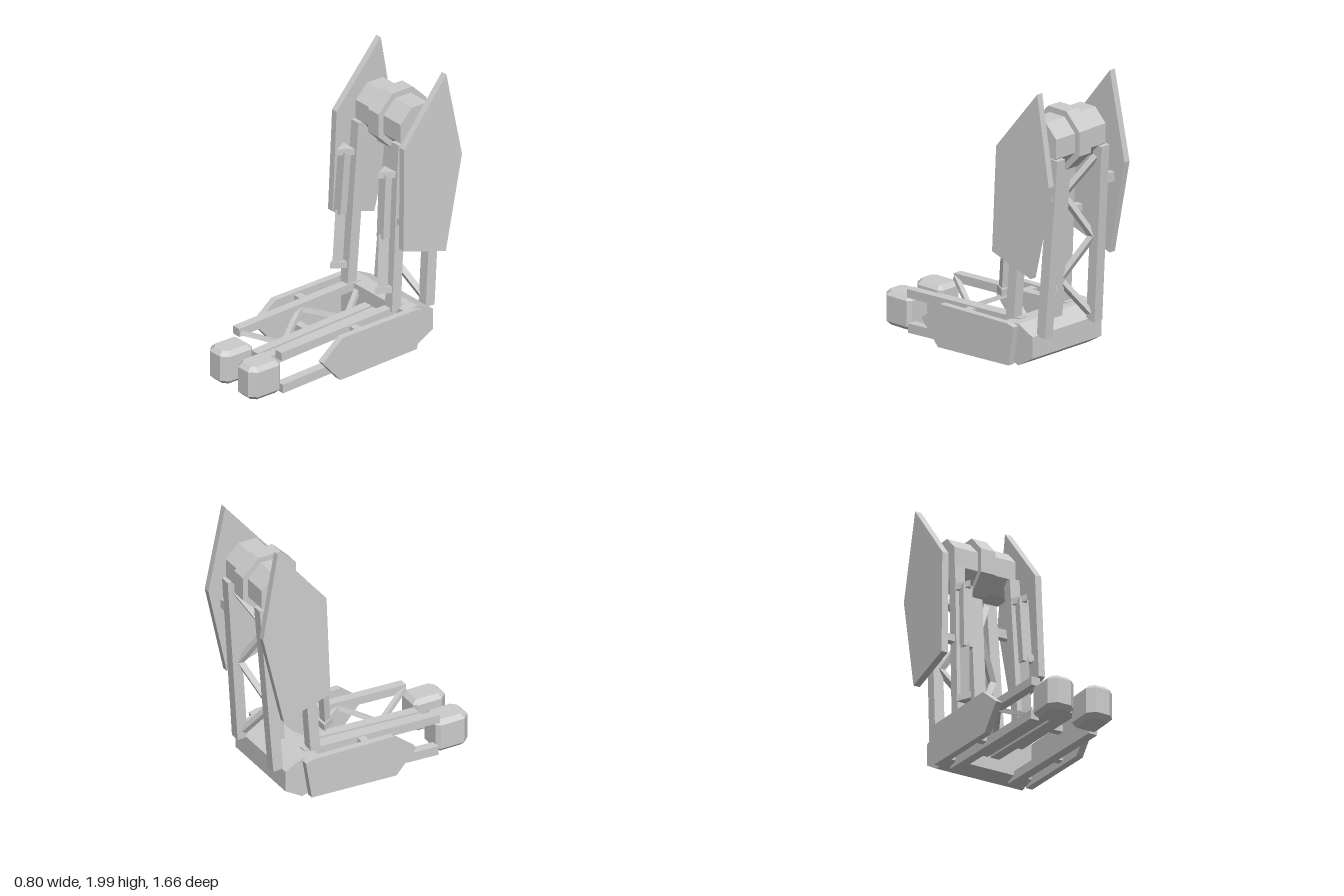
import * as THREE from 'three';

const mat = new THREE.MeshStandardMaterial({ color: 0xcccccc, flatShading: true });

function add(group, name, geo) {
  const mesh = new THREE.Mesh(geo, mat);
  mesh.name = name;
  group.add(mesh);
  return mesh;
}

// Bar from a to b, w wide across x and d deep; sides = 3 gives a triangular bar pointing forward
function beam(group, name, a, b, w, d, sides = 4) {
  const A = new THREE.Vector3(...a), B = new THREE.Vector3(...b);
  const up = B.clone().sub(A), len = up.length();
  up.normalize();
  const ref = Math.abs(up.x) > 0.9 ? new THREE.Vector3(0, 0, 1) : new THREE.Vector3(1, 0, 0);
  const x = ref.addScaledVector(up, -ref.dot(up)).normalize();
  const z = new THREE.Vector3().crossVectors(x, up);
  const geo = sides === 3
    ? new THREE.CylinderGeometry(w / 1.732, w / 1.732, len, 3)
    : new THREE.BoxGeometry(w, len, d);
  geo.applyMatrix4(new THREE.Matrix4().makeBasis(x, up, z).setPosition(A.add(B).multiplyScalar(0.5)));
  return add(group, name, geo);
}

// Flat panel from a (z, y) outline, centred on x
function slab(points, x, thickness) {
  const shape = new THREE.Shape(points.map(p => new THREE.Vector2(...p)));
  const geo = new THREE.ExtrudeGeometry(shape, { depth: thickness, bevelEnabled: false });
  return geo.rotateY(-Math.PI / 2).translate(x + thickness / 2, 0, 0);
}

// Eight-sided drum lying along x
function drum(apothem, width) {
  return new THREE.CylinderGeometry(apothem / Math.cos(Math.PI / 8), apothem / Math.cos(Math.PI / 8), width, 8)
    .rotateY(Math.PI / 8).rotateZ(Math.PI / 2).translate(0, 1.595, -0.592);
}

// Toe block with cut corners and bevelled top and bottom
function toe(x) {
  const b = 0.03, w = 0.1 - b, c = 0.03, z0 = 0.575 + b, z1 = 0.83 - b;
  const shape = new THREE.Shape([
    [-w + 0.01, -z0], [-w, -z0 - 0.01], [-w, -z1 + c], [-w + c, -z1],
    [w - c, -z1], [w, -z1 + c], [w, -z0 - 0.01], [w - 0.01, -z0],
  ].map(p => new THREE.Vector2(...p)));
  const geo = new THREE.ExtrudeGeometry(shape, {
    depth: 0.24 - 2 * b, bevelThickness: b, bevelSize: b, bevelSegments: 1,
  });
  return geo.rotateX(-Math.PI / 2).translate(x, 0.01 + b, 0);
}

function buildSide(s) {
  const g = new THREE.Group();
  g.name = s > 0 ? 'leftSide' : 'rightSide';
  const X = ([x, y, z]) => [x * s, y, z];
  const bar = (name, a, b, ...size) => beam(g, name, X(a), X(b), ...size);

  // Foot: toe block, long rails and side panel
  add(g, 'toe', toe(0.148 * s));
  bar('upperFootRail', [0.223, 0.28, 0.59], [0.223, 0.32, -0.44], 0.065, 0.06);
  bar('lowerFootRail', [0.223, 0.04, 0.58], [0.223, 0.085, -0.45], 0.065, 0.065);
  bar('middleFootRail', [0.044, 0.16, 0.58], [0.044, 0.21, -0.42], 0.068, 0.075);
  add(g, 'footPanel', slab([
    [0.34, 0.2], [0.17, 0.335], [-0.44, 0.345], [-0.5, 0.33], [-0.455, 0.055], [0.19, 0.03],
  ], 0.353 * s, 0.048));
  for (const y of [0.09, 0.3])
    bar('footPanelMount', [0.24, y, -0.01], [0.34, y, -0.01], 0.055, 0.05);

  // Foot lattice between the outer upper rail and the middle rail
  const footNodes = [[0.2, 0.28, 0.58], [0.06, 0.17, 0.32], [0.2, 0.29, 0.07], [0.06, 0.19, -0.21], [0.19, 0.31, -0.42]];
  for (let i = 0; i < 4; i++) bar('footBrace', footNodes[i], footNodes[i + 1], 0.035, 0.03);

  // Shin columns
  bar('frontColumn', [0.235, 0.32, -0.365], [0.21, 1.52, -0.44], 0.075, 0.075);
  bar('rearColumn', [0.235, 0.27, -0.65], [0.21, 1.52, -0.74], 0.075, 0.075);

  // Shin lattice between the centre column and the rear column
  const shinNodes = [[0.2, 0.33, -0.64], [0.03, 0.57, -0.53], [0.2, 0.87, -0.67], [0.03, 1.17, -0.56], [0.18, 1.44, -0.72]];
  for (let i = 0; i < 4; i++) bar('shinBrace', shinNodes[i], shinNodes[i + 1], 0.04, 0.04);

  // Shin panel, leaning inwards towards the top, with its mounts
  const panel = slab([
    [-0.71, 2], [-0.83, 1.38], [-0.68, 0.715], [-0.325, 0.825], [-0.345, 1.56],
  ], 0, 0.048);
  const p = panel.attributes.position;
  for (let i = 0; i < p.count; i++)
    p.setX(i, p.getX(i) + s * (0.376 - (p.getY(i) - 0.715) * 0.024));
  add(g, 'shinPanel', panel);
  bar('rearPanelMount', [0.22, 1.265, -0.715], [0.36, 1.265, -0.715], 0.045, 0.065);
  bar('frontPanelMount', [0.22, 0.975, -0.41], [0.365, 0.975, -0.41], 0.055, 0.05);

  // Piston in front of the shin
  bar('pistonRod', [0.237, 0.5, -0.272], [0.228, 0.9, -0.292], 0.07, 0, 3);
  bar('pistonSleeve', [0.227, 0.875, -0.29], [0.215, 1.335, -0.32], 0.07, 0.055);
  bar('pistonFoot', [0.237, 0.48, -0.278], [0.236, 0.527, -0.28], 0.112, 0, 3);
  bar('pistonCap', [0.217, 1.31, -0.322], [0.216, 1.355, -0.324], 0.118, 0, 3);
  return g;
}

export function createModel() {
  const model = new THREE.Group();
  model.name = 'mechanicalLeg';
  model.add(buildSide(1), buildSide(-1));

  // Heel block
  add(model, 'heel', slab([
    [-0.38, 0.34], [-0.5, 0.343], [-0.628, 0.28], [-0.628, 0.13], [-0.5, 0.055], [-0.38, 0.085],
  ], 0, 0.656));

  // Centre column and knee drum
  beam(model, 'centreColumn', [0, 0.32, -0.505], [0, 1.55, -0.59], 0.09, 0.075);
  add(model, 'kneeDrum', drum(0.163, 0.47));
  add(model, 'kneeBand', drum(0.203, 0.112));
  return model;
}
